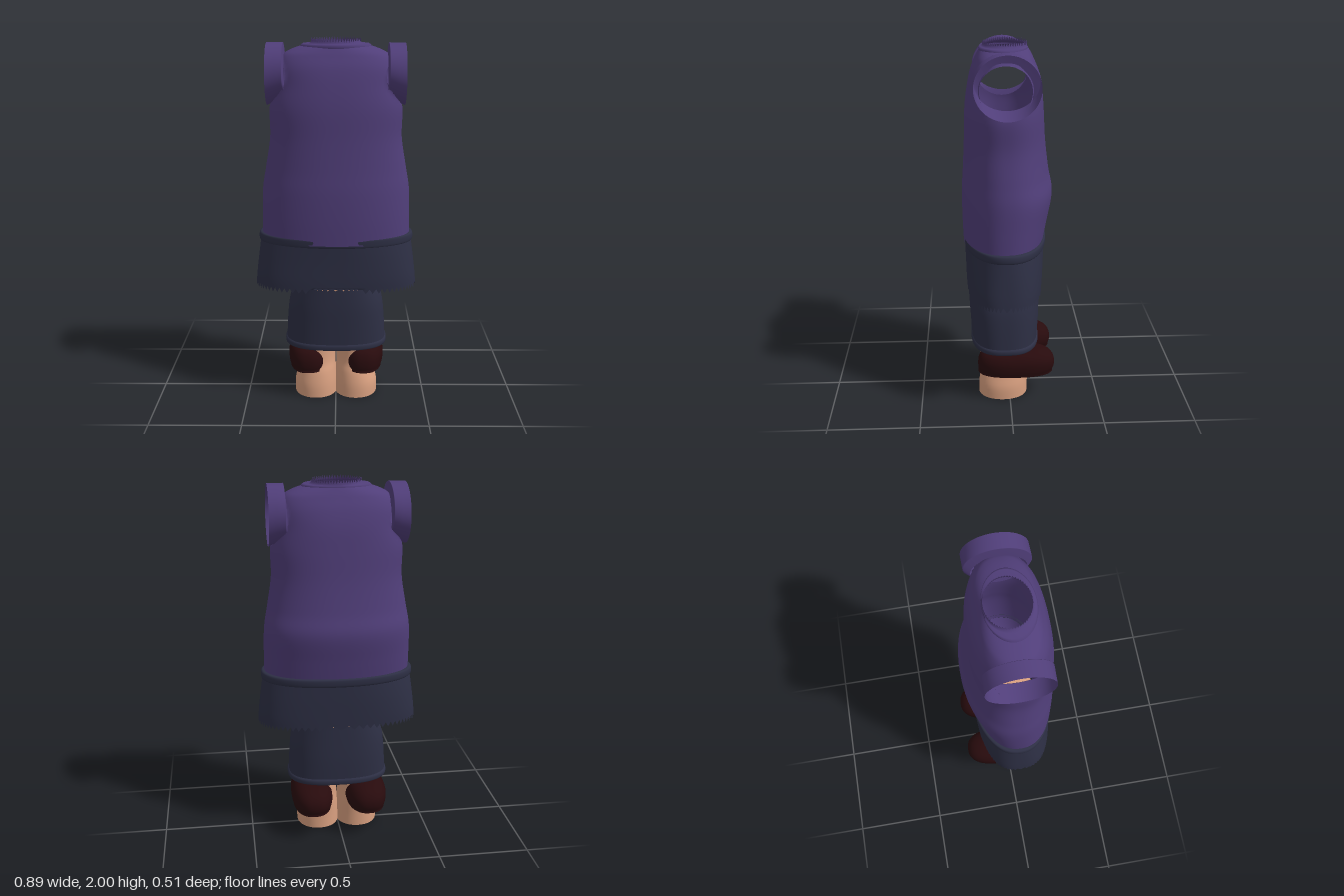
import * as THREE from 'three';

const mat = (name, color) => {
  const m = new THREE.MeshStandardMaterial({ color, side: THREE.DoubleSide });
  m.name = name;
  return m;
};

// Smoothly resample cross-section rows so a loft curves between them
function smooth(rows, steps) {
  const out = [];
  for (let i = 0; i < rows.length - 1; i++) {
    const a = rows[Math.max(i - 1, 0)], b = rows[i], c = rows[i + 1], d = rows[Math.min(i + 2, rows.length - 1)];
    for (let s = 0; s < steps; s++) {
      const t = s / steps;
      out.push(b.map((v, k) => 0.5 * (2 * v + (c[k] - a[k]) * t + (2 * a[k] - 5 * v + 4 * c[k] - d[k]) * t * t
        + (3 * v - a[k] + d[k] - 3 * c[k]) * t * t * t)));
    }
  }
  out.push(rows[rows.length - 1]);
  return out;
}

// Loft through superellipse rows [y, half width, z front, z back, exponent, x centre], bottom to top.
// move(point, row, column) may shift a vertex; it returns true for vertices inside an opening.
function loft(rows, seg = 64, move = () => false) {
  const pos = [], idx = [], open = [];
  const p = new THREE.Vector3();
  rows.forEach(([y, rx, zf, zb, n = 2, cx = 0], i) => {
    for (let j = 0; j < seg; j++) {
      const a = j / seg * Math.PI * 2, c = Math.cos(a), s = Math.sin(a);
      p.set(cx + rx * Math.sign(c) * Math.abs(c) ** (2 / n), y,
        (zf + zb) / 2 + (zf - zb) / 2 * Math.sign(s) * Math.abs(s) ** (2 / n));
      open.push(move(p, i, j));
      pos.push(p.x, p.y, p.z);
    }
  });
  for (let i = 0; i < rows.length - 1; i++) {
    for (let j = 0; j < seg; j++) {
      const a = i * seg + j, b = i * seg + (j + 1) % seg, c = a + seg, d = b + seg;
      for (const f of [[a, c, b], [b, c, d]]) if (!f.every(v => open[v])) idx.push(...f);
    }
  }
  const g = new THREE.BufferGeometry();
  g.setAttribute('position', new THREE.Float32BufferAttribute(pos, 3));
  g.setIndex(idx);
  g.computeVertexNormals();
  return g;
}

export function createModel() {
  const root = new THREE.Group();
  const purple = mat('purple cloth', 0x503e79);
  const navy = mat('navy cloth', 0x2d2f44);
  const maroon = mat('dark maroon', 0x280b0d);
  const skin = mat('skin', 0xd9a080);

  const add = (name, geo, material) => {
    const m = new THREE.Mesh(geo, material);
    m.name = name;
    root.add(m);
    return m;
  };
  const pair = (name, geo, material) => {
    add(name + 'Left', geo, material);
    add(name + 'Right', geo, material).scale.x = -1;
  };

  // Shirt body with an oval armhole on each side
  const shirtRows = smooth([
    [0.92, 0.405, 0.25, -0.185, 2.2], [1.05, 0.405, 0.255, -0.21, 2.2], [1.2, 0.4, 0.255, -0.235, 2.2],
    [1.32, 0.38, 0.248, -0.215, 2.2], [1.48, 0.355, 0.24, -0.195, 2.3], [1.64, 0.355, 0.235, -0.185, 2.4],
    [1.76, 0.325, 0.22, -0.175, 2.5], [1.85, 0.31, 0.2, -0.155, 2.6], [1.91, 0.285, 0.175, -0.13, 2.5],
    [1.94, 0.24, 0.16, -0.115, 2.3], [1.965, 0.17, 0.145, -0.1, 2],
  ], 6);
  add('shirtBody', loft(shirtRows, 96, p => {
    if (Math.abs(p.x) < 0.15) return false;
    const dy = (p.y - 1.78) / 0.13, dz = (p.z - 0.025) / 0.135, r = Math.hypot(dy, dz);
    if (r >= 1) return false;
    p.y = 1.78 + dy / (r || 1) * 0.13;
    p.z = 0.025 + dz / (r || 1) * 0.135;
    return true;
  }), purple);

  // Collar: a folded lip and a ragged neck edge
  add('collar', loft([
    [1.95, 0.185, 0.155, -0.1], [1.962, 0.188, 0.158, -0.102], [1.972, 0.175, 0.152, -0.1],
    [1.968, 0.145, 0.142, -0.098], [1.98, 0.132, 0.137, -0.096], [1.99, 0.13, 0.135, -0.095],
  ], 112, (p, i, j) => {
    if (i === 5) p.y += j % 2 ? 0.01 : -0.01;
    return false;
  }), purple);

  // Short open sleeves, lofted sideways
  const sleeve = loft([
    [0.272, 0.13, 0.165, -0.115, 2, -1.785], [0.28, 0.145, 0.188, -0.145, 2, -1.83],
    [0.282, 0.145, 0.19, -0.15, 2, -1.83], [0.325, 0.155, 0.19, -0.15, 2, -1.82],
    [0.368, 0.164, 0.19, -0.15, 2, -1.811],
  ], 64).rotateZ(-Math.PI / 2);
  pair('sleeve', sleeve, purple);

  // Shirt tail tucked inside the shorts
  add('shirtTail', loft([
    [0.665, 0.2, 0.2, -0.15, 2.4], [0.78, 0.33, 0.215, -0.16, 2.4], [0.93, 0.4, 0.24, -0.18, 2.2],
  ]), purple);

  // Upper shorts with a ragged, slightly notched lower edge
  add('shortsUpper', loft(smooth([
    [0.66, 0.445, 0.234, -0.178, 2.7], [0.72, 0.44, 0.237, -0.182, 2.7],
    [0.82, 0.428, 0.24, -0.188, 2.5], [0.93, 0.413, 0.245, -0.192, 2.2],
  ], 4), 144, (p, i, j) => {
    if (i === 0) {
      if (Math.abs(p.x) < 0.125 && p.z > 0) p.y = 0.69;
      else p.y += j % 2 ? 0.013 : -0.015;
    }
    return false;
  }), navy);
  add('waistband', loft(smooth([
    [0.905, 0.414, 0.243, -0.192, 2.2], [0.912, 0.423, 0.248, -0.199, 2.2], [0.932, 0.425, 0.25, -0.202, 2.2],
    [0.95, 0.42, 0.25, -0.2, 2.2], [0.954, 0.404, 0.243, -0.185, 2.2],
  ], 3), 96), navy);

  // Lower shorts with a ragged top and a rolled cuff
  add('shortsLower', loft(smooth([
    [0.325, 0.278, 0.21, -0.16, 2.6], [0.45, 0.272, 0.218, -0.168, 2.6],
    [0.56, 0.26, 0.224, -0.17, 2.6], [0.67, 0.23, 0.225, -0.17, 2.6],
  ], 4), 112, (p, i, j) => {
    if (i === 12) p.y += j % 2 ? 0.012 : -0.012;
    return false;
  }), navy);
  add('cuff', loft(smooth([
    [0.318, 0.262, 0.2, -0.15, 2.6], [0.304, 0.274, 0.208, -0.16, 2.6], [0.308, 0.284, 0.215, -0.167, 2.6],
    [0.328, 0.285, 0.216, -0.168, 2.6], [0.338, 0.277, 0.21, -0.161, 2.6],
  ], 3), 80), navy);

  // Hips inside the clothing, closed by a low dome
  add('hips', loft(smooth([
    [0.42, 0.2, 0.16, -0.11, 2.3], [0.58, 0.21, 0.18, -0.13, 2.3], [0.7, 0.205, 0.185, -0.135, 2.2],
    [0.75, 0.16, 0.15, -0.11, 2], [0.765, 0.001, 0.021, 0.019, 2],
  ], 4)), skin);

  // Open-bottomed feet and shins
  pair('leg', loft(smooth([
    [0, 0.12, 0.175, -0.1, 2.1, 0.113], [0.07, 0.119, 0.173, -0.102, 2.1, 0.113],
    [0.14, 0.107, 0.16, -0.105, 2.1, 0.107], [0.2, 0.1, 0.142, -0.105, 2, 0.104],
    [0.3, 0.1, 0.14, -0.11, 2, 0.104], [0.45, 0.1, 0.15, -0.11, 2, 0.104],
  ], 4), 48), skin);

  // Rounded flat-bottomed wraps around the shins
  pair('shoe', loft(smooth([
    [0.15, 0.001, -0.037, -0.039, 2.5, 0.155], [0.15, 0.095, 0.16, -0.225, 2.5, 0.155],
    [0.165, 0.109, 0.175, -0.243, 2.5, 0.155], [0.2, 0.116, 0.18, -0.254, 2.5, 0.155],
    [0.24, 0.112, 0.174, -0.247, 2.5, 0.157], [0.275, 0.092, 0.15, -0.215, 2.4, 0.158],
    [0.297, 0.055, 0.08, -0.15, 2.2, 0.158], [0.303, 0.001, -0.037, -0.039, 2, 0.158],
  ], 4), 56), maroon);

  return root;
}
